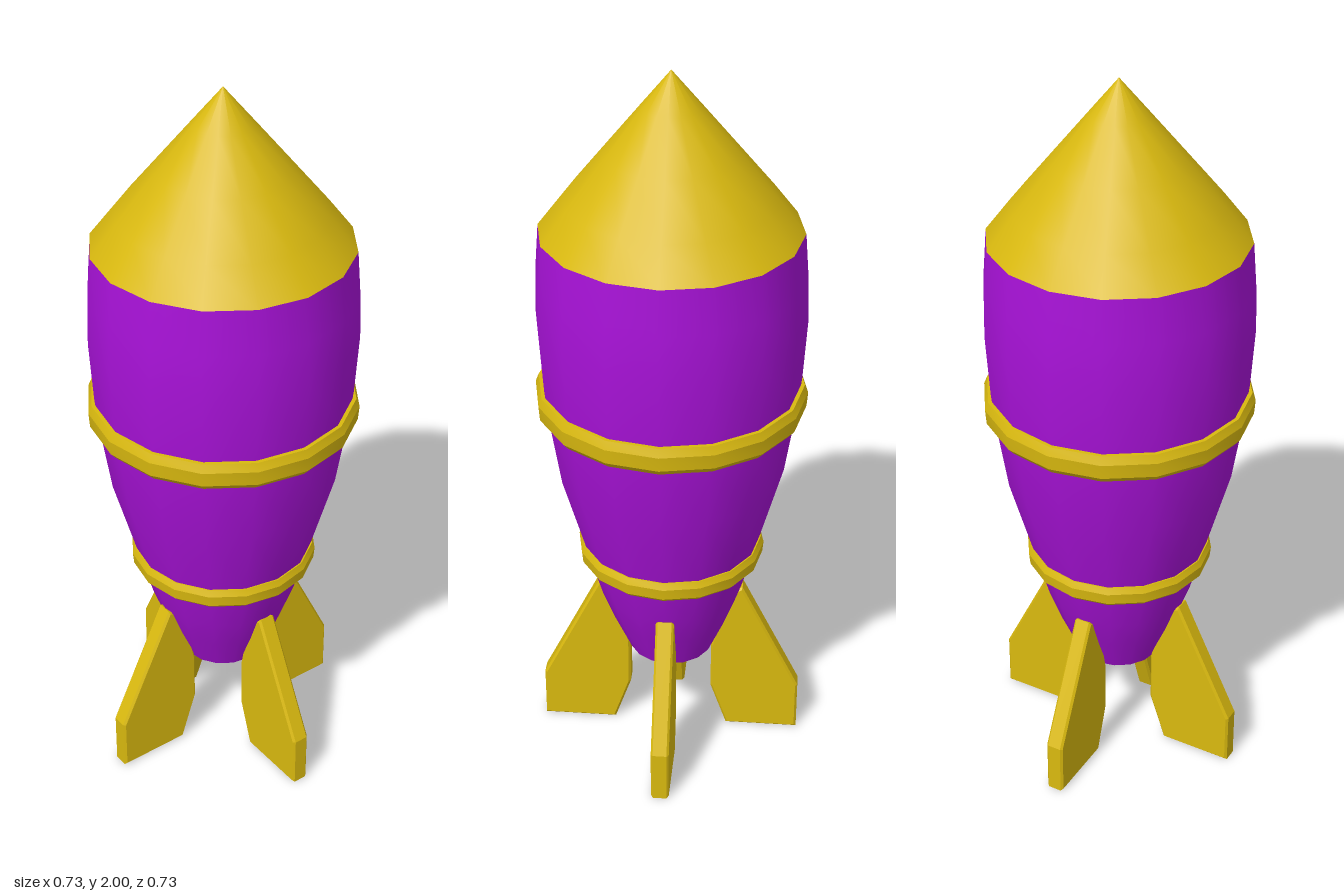
import * as THREE from 'three';
import { toCreasedNormals } from 'three/addons/utils/BufferGeometryUtils.js';

const SIDES = 16;
const purple = new THREE.MeshStandardMaterial({ color: 0xa812d8 });
const gold = new THREE.MeshStandardMaterial({ color: 0xd9b90f });
const dark = new THREE.MeshStandardMaterial({ color: 0x1a1a1a });

// Turned part from [radius, y] pairs, smooth around and creased at sharp profile corners
function turned(name, profile, material, crease = 0.6) {
  const points = profile.map(([r, y]) => new THREE.Vector2(r, y));
  const geometry = toCreasedNormals(new THREE.LatheGeometry(points, SIDES), crease);
  const mesh = new THREE.Mesh(geometry, material);
  mesh.name = name;
  return mesh;
}

// Chamfered band wrapped around the hull
function band(name, y0, y1, rLow, rMid, rHigh) {
  const h = y1 - y0;
  return turned(name, [
    [rLow - 0.04, y0], [rLow, y0], [rMid - 0.003, y0 + h * 0.22],
    [rMid, y0 + h * 0.72], [rHigh, y1], [rHigh - 0.04, y1],
  ], gold, 0.41);
}

export function createModel() {
  const rocket = new THREE.Group();
  rocket.name = 'rocket';

  // Hull with a shallow exhaust recess underneath
  rocket.add(turned('hull', [
    [0.1, 0.35], [0.1, 0.28], [0.118, 0.28], [0.165, 0.39], [0.2, 0.485],
    [0.228, 0.585], [0.248, 0.66], [0.306, 0.87], [0.335, 1.06],
    [0.346, 1.16], [0.356, 1.33], [0.352, 1.45], [0.342, 1.575],
  ], purple));
  const exhaust = new THREE.Mesh(new THREE.CircleGeometry(0.1, SIDES), dark);
  exhaust.name = 'exhaust';
  exhaust.rotation.x = Math.PI / 2;
  exhaust.position.y = 0.345;
  rocket.add(exhaust);

  // Nose cone
  rocket.add(turned('noseCone', [
    [0.342, 1.575], [0.275, 1.663], [0.175, 1.786], [0.078, 1.905], [0, 2],
  ], gold));

  // Bands
  rocket.add(band('upperBand', 1.057, 1.138, 0.345, 0.363, 0.354));
  rocket.add(band('lowerBand', 0.587, 0.65, 0.24, 0.257, 0.249));

  // Four fins with chamfered edges
  const bevel = 0.006;
  const outline = [
    [0.2, 0.478], [0.361, 0.15], [0.361, bevel], [0.166, bevel],
    [0.122, 0.135], [0.122, 0.28], [0.16, 0.46],
  ].map(([x, y]) => new THREE.Vector2(x, y));
  const finGeometry = new THREE.ExtrudeGeometry(new THREE.Shape(outline), {
    depth: 0.038, bevelEnabled: true, bevelSegments: 1,
    bevelSize: bevel, bevelThickness: bevel,
  });
  finGeometry.translate(0, 0, -0.019);
  ['leftFin', 'backFin', 'rightFin', 'frontFin'].forEach((name, i) => {
    const fin = new THREE.Mesh(finGeometry, gold);
    fin.name = name;
    fin.rotation.y = i * Math.PI / 2;
    rocket.add(fin);
  });

  return rocket;
}
